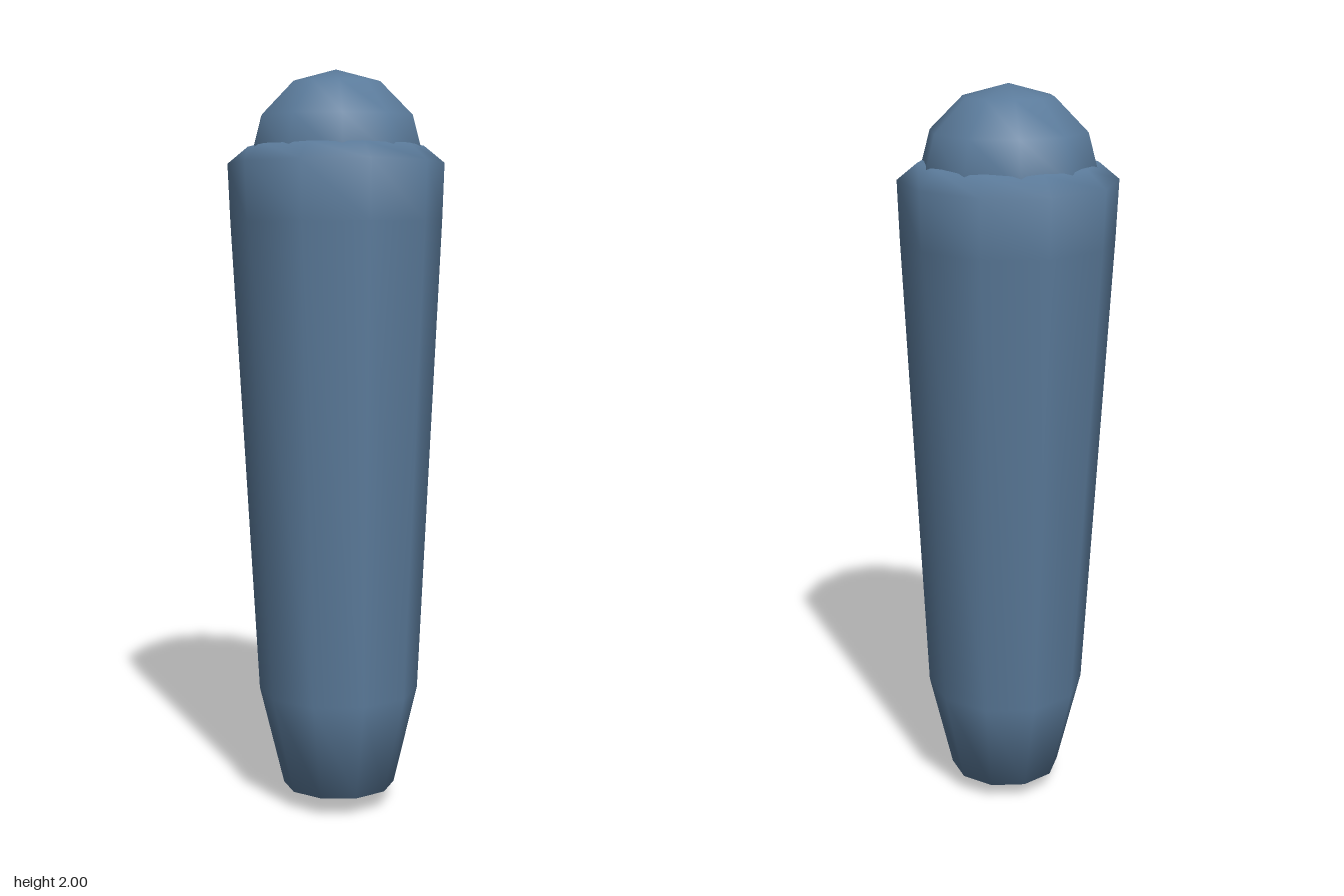
import * as THREE from 'three';

export function createModel() {
  const model = new THREE.Group();
  const material = new THREE.MeshStandardMaterial({ color: 0x5b7b9b });

  // Ten-sided tapered body, heights measured from its widest ring
  const rimY = 1.755;
  const profile = [
    [0, 0], [0.153, 0.05], [0.218, 0.32], [0.284, 1.6],
    [0.29, rimY], [0.235, 1.8], [0, 1.83],
  ].map(([r, y]) => new THREE.Vector2(r, y - rimY));
  const body = new THREE.Mesh(new THREE.LatheGeometry(profile, 10, -0.07), material);
  body.name = 'taperedBody';
  body.position.y = rimY;
  body.rotation.set(-0.023, 0, 0.0105); // slight lean
  model.add(body);

  // Rounded knob set into the top
  const knob = new THREE.Mesh(new THREE.SphereGeometry(0.24, 10, 6), material);
  knob.name = 'topKnob';
  knob.position.y = 1.76;
  model.add(knob);

  return model;
}
